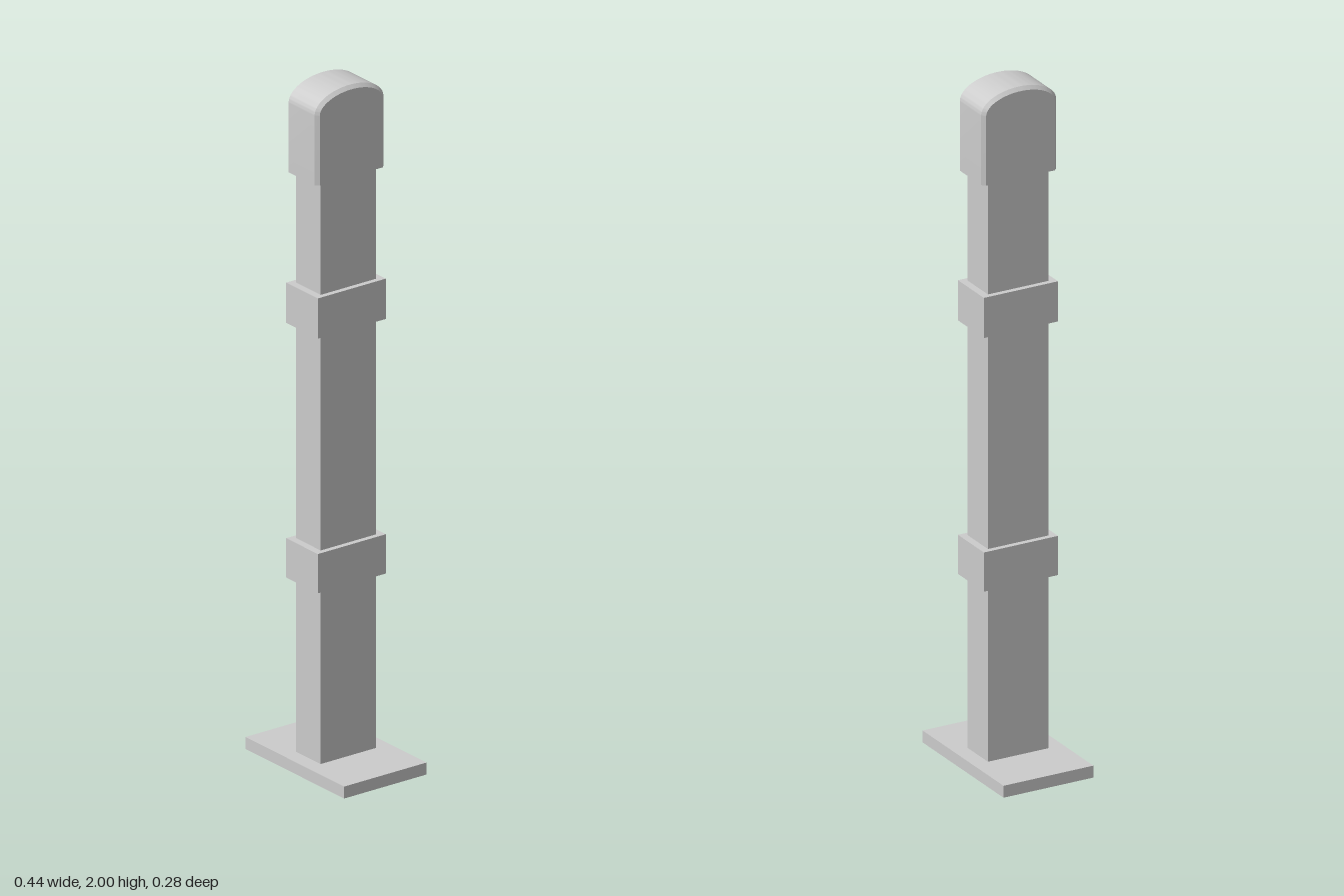
import * as THREE from 'three';
import { toCreasedNormals } from 'three/addons/utils/BufferGeometryUtils.js';

const material = new THREE.MeshStandardMaterial({ color: 0xcccccc });

// Box standing between two heights
function block(name, width, depth, bottom, top) {
  const mesh = new THREE.Mesh(new THREE.BoxGeometry(width, top - bottom, depth), material);
  mesh.name = name;
  mesh.position.y = (bottom + top) / 2;
  return mesh;
}

// Arched cap: side profile extruded across x with a small bevel and a flat underside
function cap() {
  const bottom = 1.735, top = 2, halfDepth = 0.117, halfWidth = 0.068, rise = 0.062, bevel = 0.01;
  const r = halfDepth - bevel;
  const shape = new THREE.Shape();
  shape.moveTo(-r, bottom + bevel);
  shape.lineTo(r, bottom + bevel);
  shape.lineTo(r, top - rise);
  shape.absellipse(0, top - rise, r, rise - bevel, 0, Math.PI, false);
  shape.closePath();
  const depth = 2 * (halfWidth - bevel);
  let geometry = new THREE.ExtrudeGeometry(shape, {
    depth, curveSegments: 24, bevelThickness: bevel, bevelSize: bevel, bevelSegments: 1,
  });
  geometry.translate(0, 0, -depth / 2);
  geometry.rotateY(Math.PI / 2);
  // Flatten the lower bevel
  const p = geometry.attributes.position;
  for (let i = 0; i < p.count; i++) {
    if (p.getY(i) < bottom + bevel + 0.002) p.setY(i, bottom);
  }
  geometry = toCreasedNormals(geometry, 0.5);
  const mesh = new THREE.Mesh(geometry, material);
  mesh.name = 'cap';
  return mesh;
}

export function createModel() {
  const model = new THREE.Group();
  model.name = 'bollardPost';
  model.add(
    block('basePlate', 0.44, 0.28, 0, 0.035),
    block('post', 0.11, 0.188, 0.035, 1.75),
    block('lowerBand', 0.141, 0.231, 0.545, 0.66),
    block('upperBand', 0.141, 0.231, 1.29, 1.408),
    cap(),
  );
  return model;
}
